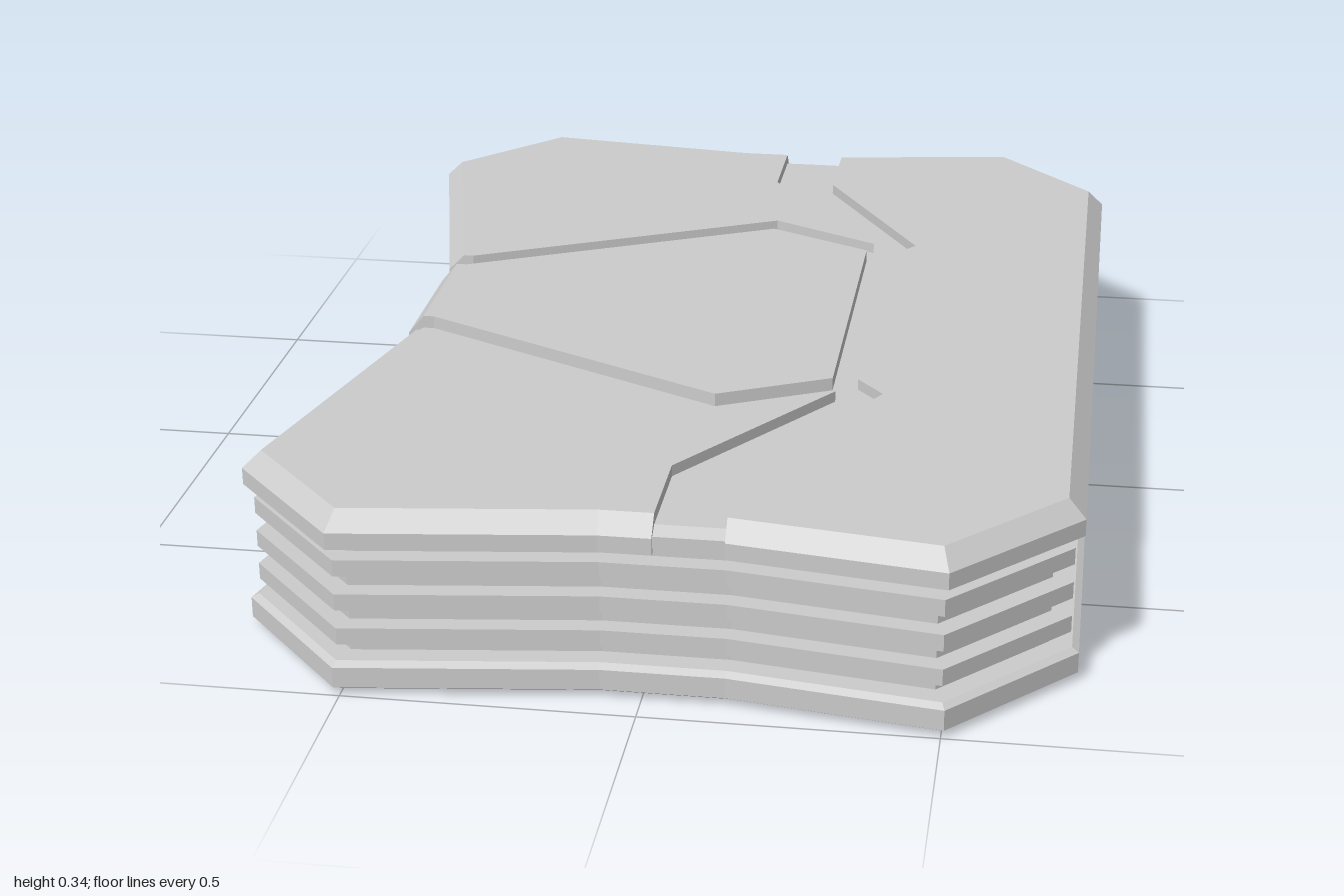
import * as THREE from 'three';

const material = new THREE.MeshStandardMaterial({ color: 0xcccccc, flatShading: true });

// Moves every edge of a plan polygon [x, z] inward by its own distance
function inset(points, distances) {
  const n = points.length;
  const lines = points.map((p, i) => {
    const q = points[(i + 1) % n];
    const len = Math.hypot(q[0] - p[0], q[1] - p[1]);
    const nx = -(q[1] - p[1]) / len, nz = (q[0] - p[0]) / len;
    return { nx, nz, c: nx * p[0] + nz * p[1] + distances[i] };
  });
  return points.map((p, i) => {
    const a = lines[(i + n - 1) % n], b = lines[i];
    const det = a.nx * b.nz - a.nz * b.nx;
    if (Math.abs(det) < 1e-5) return [p[0] + b.nx * distances[i], p[1] + b.nz * distances[i]];
    return [(a.c * b.nz - b.c * a.nz) / det, (a.nx * b.c - b.nx * a.c) / det];
  });
}

// Stacks rings [height, inset] of a plan polygon into a closed solid;
// only the first outerEdges edges take the inset
function slab(name, points, rings, outerEdges = points.length) {
  const n = points.length;
  const positions = [], index = [];
  rings.forEach(([y, d]) => {
    const ring = inset(points, points.map((_, i) => (i < outerEdges ? d : 0)));
    ring.forEach(([x, z]) => positions.push(x, y, z));
  });
  for (let r = 0; r < rings.length - 1; r++) {
    for (let i = 0; i < n; i++) {
      const a = r * n + i, b = r * n + (i + 1) % n;
      index.push(a, a + n, b, b, a + n, b + n);
    }
  }
  const top = (rings.length - 1) * n;
  const capOf = (offset) => THREE.ShapeUtils.triangulateShape(
    points.map((_, i) => new THREE.Vector2(positions[(offset + i) * 3], positions[(offset + i) * 3 + 2])), []);
  capOf(0).forEach(([a, b, c]) => index.push(a, b, c));
  capOf(top).forEach(([a, b, c]) => index.push(top + a, top + c, top + b));

  let geometry = new THREE.BufferGeometry();
  geometry.setAttribute('position', new THREE.Float32BufferAttribute(positions, 3));
  geometry.setIndex(index);
  geometry = geometry.toNonIndexed();
  geometry.computeVertexNormals();
  const mesh = new THREE.Mesh(geometry, material);
  mesh.name = name;
  return mesh;
}

// Mirrors a run of points front to back, keeping the turning direction
const mirror = (points) => points.map(([x, z]) => [x, -z]).reverse();

export function createModel() {
  const model = new THREE.Group();
  model.name = 'ribbedCase';

  // Plan outline: straight on one long side, waisted on the other
  const half = [[0.715, 0.775], [0.505, 1], [0.14, 0.945], [-0.07, 0.945],
    [-0.51, 1], [-0.715, 0.775], [-0.58, 0.2]];
  const outline = [...half, ...mirror(half)];

  // Base plate and recessed core
  model.add(slab('basePlate', outline, [[0, 0.025], [0.015, 0], [0.052, 0], [0.06, 0.012]]));
  model.add(slab('core', outline, [[0.055, 0.05], [0.275, 0.05]]));

  // Cooling fins around the core
  for (let i = 0; i < 3; i++) {
    const y = 0.088 + i * 0.063;
    model.add(slab('fin', outline, [[y, 0.015], [y + 0.03, 0.015]]));
  }

  // Floor of the grooves between the top panels
  model.add(slab('grooveFloor', outline, [[0.272, 0.008], [0.3, 0.008], [0.312, 0.03]]));

  // Top panels, bevelled along the outside only
  const panel = (name, outer, groove, height = 0.332) => model.add(slab(name,
    [...outer, ...groove], [[0.27, 0], [0.3, 0], [height, 0.03]], outer.length - 1));

  const sideOuter = [[0.715, 0.775], [0.505, 1], [0.14, 0.945]];
  const sideGroove = [[0.14, 0.73], [0.345, 0.38], [0.295, 0.32]];
  panel('sidePanel', [...mirror(sideOuter), ...sideOuter], [...sideGroove, ...mirror(sideGroove)]);

  const endOuter = [[0.02, 0.945], [-0.07, 0.945], [-0.51, 1], [-0.715, 0.775], [-0.58, 0.2]];
  const endGroove = [[-0.53, 0.2], [0.05, 0.49], [0.26, 0.38], [0.02, 0.73]];
  panel('frontPanel', endOuter, endGroove);
  panel('backPanel', mirror(endOuter), mirror(endGroove));

  const centreGroove = [[-0.53, -0.14], [0.05, -0.43], [0.25, -0.33]];
  panel('centrePanel', [[-0.58, 0.14], [-0.58, -0.14]],
    [...centreGroove, ...mirror(centreGroove)], 0.336);

  return model;
}
